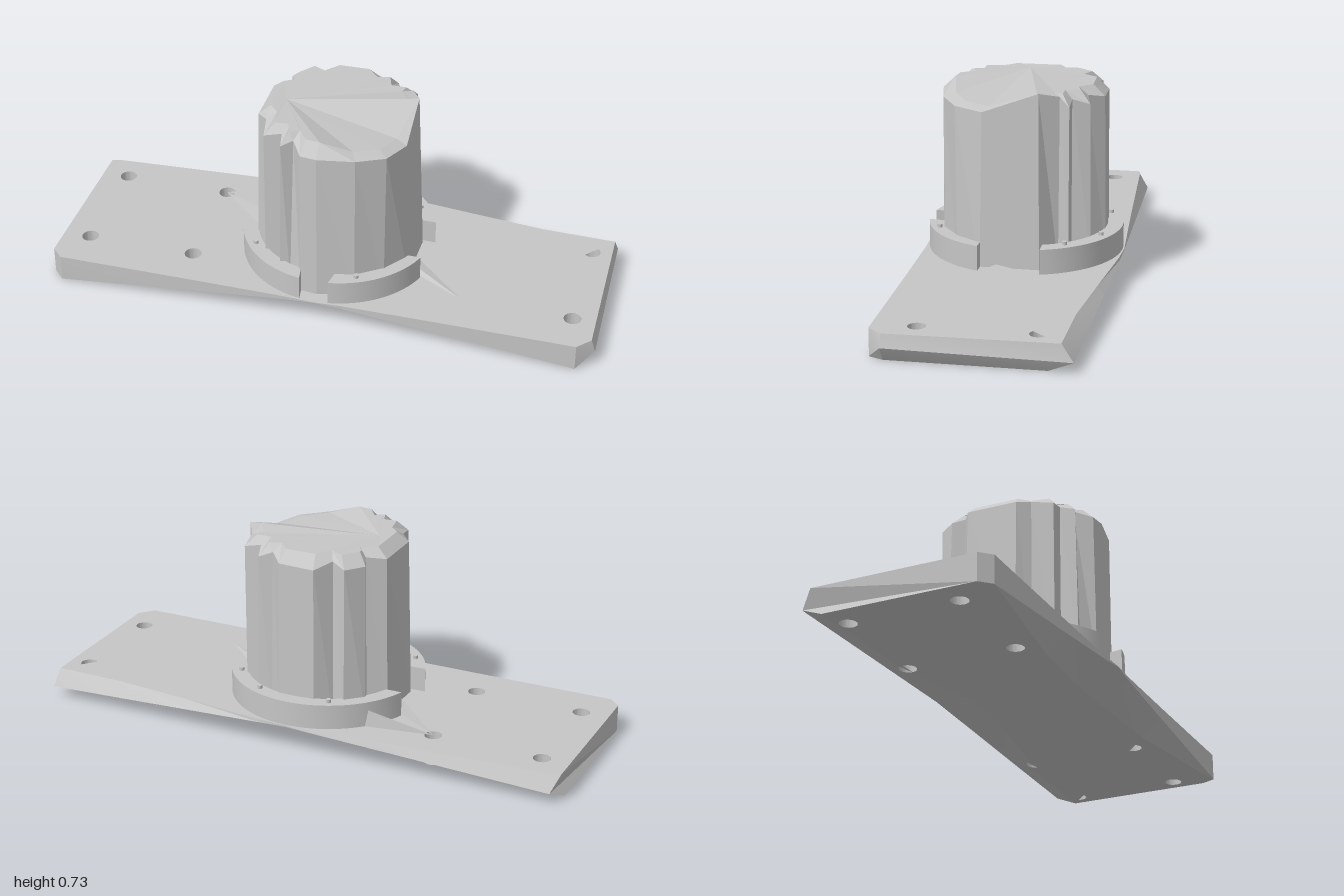
import * as THREE from 'three';
import { toCreasedNormals } from 'three/addons/utils/BufferGeometryUtils.js';
import { ConvexGeometry } from 'three/addons/geometries/ConvexGeometry.js';

const V = (x, y, z) => new THREE.Vector3(x, y, z);

// Extrude a plan drawn in (x, -z) upwards from y = 0
function extrudeUp(shape, depth, steps = 1) {
  return new THREE.ExtrudeGeometry(shape, { depth, steps, bevelEnabled: false, curveSegments: 14 })
    .rotateX(-Math.PI / 2);
}

// Top outline of the plate along its front and back edges, and the creases across it
const FRONT = [
  [-1, 0.31], [-0.96, 0.35], [-0.42, 0.35], [-0.1, 0.352], [0, 0.357], [0.1, 0.352], [0.42, 0.35],
  [0.94, 0.35], [0.985, 0.3],
];
const BACK = [
  [-1, -0.285], [-0.96, -0.295], [-0.42, -0.328], [-0.1, -0.35], [0, -0.357], [0.1, -0.352],
  [0.42, -0.318], [0.7, -0.29], [0.972, -0.285],
];
const CREASES = [-1, -0.42, -0.1, 0.1, 0.42, 1];

// Where a point of the straight slab ends up: arched below, bevelled front, back and right end
function shapePlatePoint(x, y, z) {
  const layer = Math.round(y / 0.05);
  if (layer === 2) return [x, y, z];
  const k = Math.max(0, 1 - Math.abs(x) / 0.96);
  const rightEnd = x > 0.97;
  if (layer === 0) y = 0.03 * Math.min(1, Math.max(0, (0.42 - Math.abs(x)) / 0.32));
  if (z > 0.28) {
    if (layer === 1) y = rightEnd ? 0.055 : 0.098 * k;
    else z -= 0.14 * k;
  } else if (z < -0.28) {
    if (layer === 1) {
      y = 0.04 + 0.055 * k;
      z = -0.326 - 0.031 * k;
      x = Math.max(x, -0.975);
    } else z = -0.24 + 0.08 * k;
  }
  if (rightEnd) x = layer === 0 ? 0.96 : z > 0 ? 1 : 0.98;
  return [x, y, z];
}

// One drilled panel of the plate between two creases, without its hidden inner walls
function panelGeometry(x0, x1) {
  const within = ([x]) => x >= x0 && x <= x1;
  const outline = [...FRONT.filter(within), ...BACK.filter(within).reverse()];
  const shape = new THREE.Shape(outline.map(([x, z]) => new THREE.Vector2(x, -z)));
  for (const x of [-0.9, -0.5, 0.5, 0.9].filter((v) => within([v]))) for (const z of [-0.2, 0.2]) {
    shape.holes.push(new THREE.Path().absarc(x, -z, 0.031, 0, Math.PI * 2, true));
  }
  const p = extrudeUp(shape, 0.1, 2).attributes.position;
  const pos = [];
  for (let i = 0; i < p.count; i += 3) {
    const xs = [0, 1, 2].map((j) => p.getX(i + j));
    const inner = CREASES.slice(1, -1).some((c) => xs.every((x) => Math.abs(x - c) < 1e-4));
    if (inner) continue;
    for (let j = i; j < i + 3; j++) pos.push(...shapePlatePoint(p.getX(j), p.getY(j), p.getZ(j)));
  }
  const geo = new THREE.BufferGeometry();
  geo.setAttribute('position', new THREE.Float32BufferAttribute(pos, 3));
  return toCreasedNormals(geo, 0.3);
}

// One curved block of the collar between two plan angles
function collarGeometry(a, b) {
  const shape = new THREE.Shape();
  shape.absarc(0, 0, 0.351, a, b, false);
  shape.absarc(0, 0, 0.295, b - 0.06, a + 0.06, true);
  return toCreasedNormals(extrudeUp(shape, 0.09).translate(0, 0.1, 0), 0.5);
}

// Faceted closed skin through stacked rings, finished with an apex
function loftGeometry(rings, apex) {
  const pos = [];
  const tri = (...pts) => pts.forEach((q) => pos.push(q.x, q.y, q.z));
  const n = rings[0].length;
  for (let i = 0; i < n; i++) {
    const j = (i + 1) % n;
    for (let r = 0; r + 1 < rings.length; r++) {
      const a = rings[r], b = rings[r + 1];
      tri(a[i], b[i], b[j]);
      tri(a[i], b[j], a[j]);
    }
    const top = rings[rings.length - 1];
    tri(top[i], apex, top[j]);
  }
  const geo = new THREE.BufferGeometry();
  geo.setAttribute('position', new THREE.Float32BufferAttribute(pos, 3));
  geo.computeVertexNormals();
  return geo;
}

// Crumpled tower: [x, z, rim height, base radius], clockwise from above
function towerGeometry() {
  const plan = [
    [-0.18, -0.25, 0.675, 0.305], [-0.125, -0.225, 0.69, 0.27], [-0.08, -0.285, 0.67, 0.3],
    [0.05, -0.288, 0.675, 0.3], [0.1, -0.235, 0.69, 0.27], [0.15, -0.25, 0.67, 0.3],
    [0.17, -0.19, 0.69, 0.255], [0.235, -0.19, 0.675, 0.3], [0.225, -0.155, 0.71, 0.265],
    [0.265, -0.087, 0.727, 0.305], [0.27, 0.11, 0.655, 0.31], [0.225, 0.215, 0.662, 0.305],
    [0.13, 0.275, 0.67, 0.305], [0, 0.302, 0.672, 0.308], [-0.06, 0.295, 0.672, 0.308],
    [-0.1, 0.235, 0.69, 0.285], [-0.14, 0.26, 0.675, 0.308], [-0.15, 0.205, 0.69, 0.255],
    [-0.215, 0.21, 0.675, 0.305], [-0.23, 0.13, 0.69, 0.275], [-0.27, 0.09, 0.68, 0.3],
    [-0.272, -0.1, 0.68, 0.3], [-0.21, -0.14, 0.69, 0.265], [-0.23, -0.185, 0.675, 0.305],
  ];
  const base = plan.map(([x, z, , r]) => {
    const s = r / Math.hypot(x, z);
    return V(x * s, 0.1, z * s);
  });
  const rim = plan.map(([x, z, y]) => V(x, y, z));
  // The roof slopes straight to the rim at the front of the +x side
  const roofHeight = (x, z, y) => (y > 0.72 ? 0.724 : z > 0 && x > 0.1 ? y + 0.012 : 0.715);
  const roof = plan.map(([x, z, y]) => V(x * 0.85, roofHeight(x, z, y), z * 0.85));
  return loftGeometry([base, rim, roof], V(-0.19, 0.712, 0.02));
}

export function createModel() {
  const model = new THREE.Group();
  const grey = new THREE.MeshStandardMaterial({ color: 0xc6c6c6 });
  grey.name = 'plain grey';
  const add = (name, geo) => {
    const mesh = new THREE.Mesh(geo, grey);
    mesh.name = name;
    model.add(mesh);
  };

  for (let i = 0; i + 1 < CREASES.length; i++) {
    add('basePlatePanel', panelGeometry(CREASES[i], CREASES[i + 1]));
  }
  add('tower', towerGeometry());

  // Collar: one long block behind, two short ones in front
  add('collarBack', collarGeometry(0.3, Math.PI - 0.3));
  add('collarFrontLeft', collarGeometry(-Math.PI / 2 + 0.15, -0.34));
  add('collarFrontRight', collarGeometry(Math.PI + 0.34, Math.PI * 1.5 - 0.15));

  // Small pegs standing on the collar
  for (const [x, z] of [[-0.14, -0.29], [0.13, -0.29], [0.26, -0.18], [-0.26, 0.19], [0.14, 0.29]]) {
    add('collarPeg', new THREE.CylinderGeometry(0.009, 0.009, 0.06, 10).translate(x, 0.172, z));
  }

  // Thin webs stretched from the tower to the nearest plate holes
  const webs = [
    [V(-0.5, 0.1, -0.2), V(-0.22, 0.17, -0.235), V(-0.22, 0.1, -0.2), V(-0.22, 0.1, -0.245)],
    [V(-0.5, 0.1, -0.2), V(-0.28, 0.16, -0.04), V(-0.28, 0.1, 0.0), V(-0.28, 0.1, -0.06)],
    [V(0.5, 0.1, 0.2), V(0.29, 0.112, 0.06), V(0.27, 0.1, -0.02), V(0.29, 0.1, 0.085)],
  ];
  webs.forEach((pts) => add('web', new ConvexGeometry(pts)));

  return model;
}
